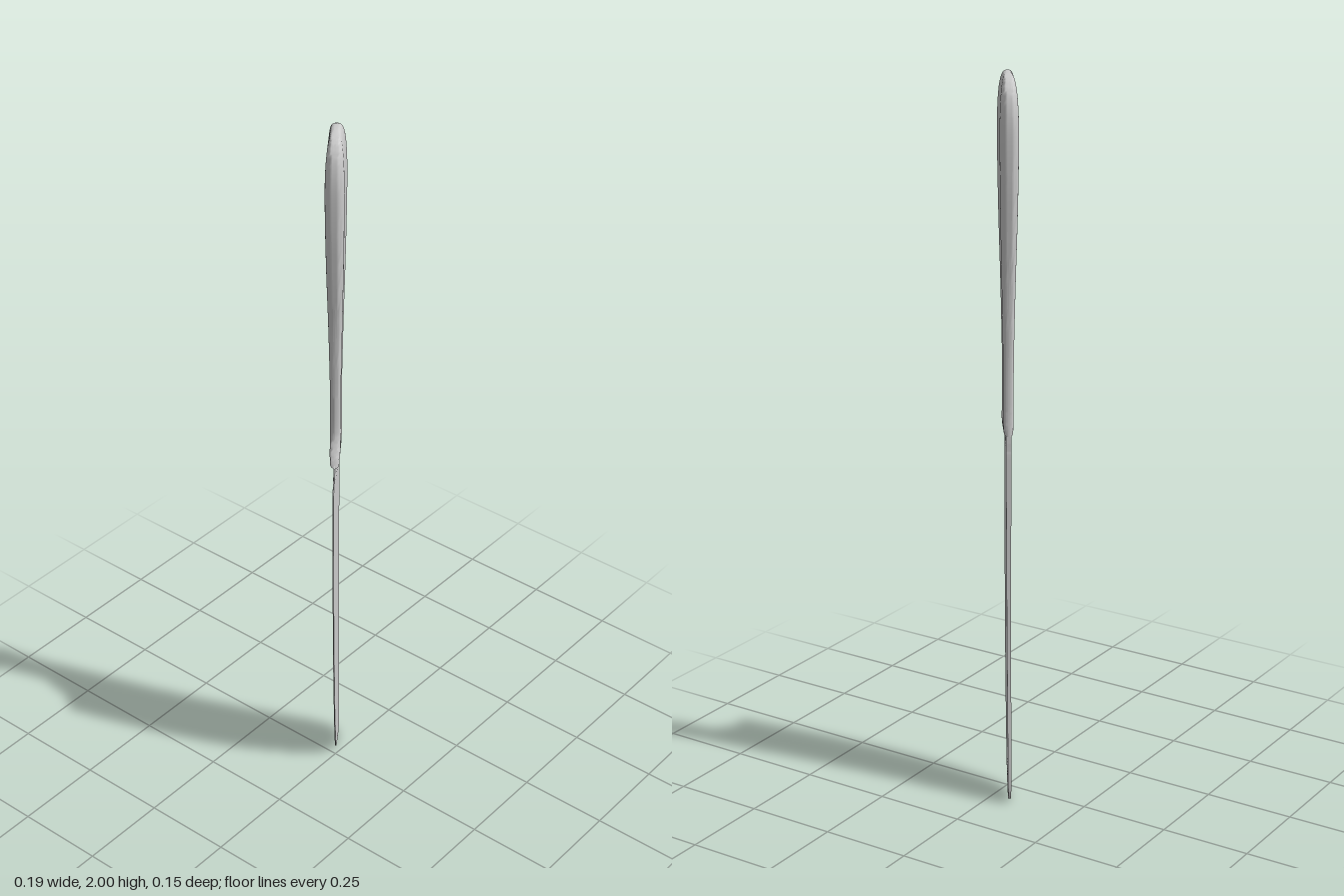
import * as THREE from 'three';
import { toCreasedNormals } from 'three/addons/utils/BufferGeometryUtils.js';

const steel = new THREE.MeshStandardMaterial({ color: 0xcccccc });

// Skin stacked rings. Each row is [y, left, right, thickness]; section gives the
// ring of [x, z] points (counter-clockwise, x towards z); bend may shift y.
function loft(rows, samples, section, crease, bend = (x, y) => y) {
  const curves = [1, 2, 3].map(k => new THREE.SplineCurve(rows.map(r => new THREE.Vector2(r[k], r[0]))));
  const pos = [], idx = [];
  let n = 0;
  for (let j = 0; j <= samples; j++) {
    const [l, r, d] = curves.map(c => c.getPoint(j / samples));
    const ring = section(l.x, r.x, d.x);
    n = ring.length;
    for (const [x, z] of ring) pos.push(x, bend(x, l.y, l.x, r.x), z);
  }
  for (let j = 0; j < samples; j++) {
    for (let i = 0; i < n; i++) {
      const a = j * n + i, b = j * n + (i + 1) % n;
      idx.push(a, a + n, b, b, a + n, b + n);
    }
  }
  // end caps
  const top = samples * n;
  for (let i = 1; i < n - 1; i++) {
    idx.push(0, i, i + 1, top, top + i + 1, top + i);
  }
  const g = new THREE.BufferGeometry();
  g.setAttribute('position', new THREE.Float32BufferAttribute(pos, 3));
  g.setIndex(idx);
  return toCreasedNormals(g, crease);
}

// Flat-sided ring with round ends
function stadium(l, r, d) {
  const rad = Math.min(d, r - l) / 2, half = (r - l) / 2 - rad, mid = (l + r) / 2;
  const ring = [], steps = 12;
  for (const side of [1, -1]) {
    for (let i = 0; i <= steps; i++) {
      const a = (i / steps - 0.5) * Math.PI + (side < 0 ? Math.PI : 0);
      ring.push([mid + side * (half + 1e-4) + rad * Math.cos(a), rad * Math.sin(a)]);
    }
  }
  return ring;
}

// Wedge ring: thin cutting edge on the left, thick spine on the right
function wedge(l, r, d) {
  const edge = 0.0015, spine = d / 2;
  return [[r, -spine], [r, spine], [l, edge], [l, -edge]];
}

export function createModel() {
  const knife = new THREE.Group();
  knife.name = 'tableKnife';

  // Handle: flared bolster, slim neck, wide rounded butt
  const handleRows = [
    [1.04, -0.052, 0.064, 0.024],
    [1.06, -0.044, 0.064, 0.027],
    [1.08, -0.033, 0.063, 0.028],
    [1.11, -0.02, 0.062, 0.028],
    [1.15, -0.016, 0.062, 0.028],
    [1.22, -0.016, 0.063, 0.028],
    [1.3, -0.018, 0.067, 0.03],
    [1.45, -0.027, 0.078, 0.036],
    [1.6, -0.046, 0.096, 0.043],
    [1.72, -0.059, 0.109, 0.047],
    [1.82, -0.064, 0.114, 0.049],
    [1.89, -0.062, 0.112, 0.048],
    [1.94, -0.052, 0.102, 0.043],
    [1.97, -0.037, 0.087, 0.036],
    [1.988, -0.02, 0.07, 0.027],
    [1.997, -0.002, 0.052, 0.015],
    [2.0, 0.012, 0.038, 0.004],
  ];
  // the bolster's lower rim arches up in the middle
  const arch = (x, y, l, r) => {
    const u = (2 * x - l - r) / (r - l);
    return y + 0.018 * (1 - u * u) * Math.max(0, 1 - (y - 1.04) / 0.08);
  };
  const handle = new THREE.Mesh(loft(handleRows, 80, stadium, 0.7, arch), steel);
  handle.name = 'handle';

  // Blade: rounded tip, curved cutting edge, scooped heel running into the bolster
  const bladeRows = [
    [0.0, 0.045, 0.075, 0.006],
    [0.004, 0.034, 0.094, 0.007],
    [0.012, 0.022, 0.107, 0.008],
    [0.03, 0.007, 0.115, 0.008],
    [0.07, -0.013, 0.117, 0.009],
    [0.13, -0.033, 0.114, 0.009],
    [0.2, -0.051, 0.107, 0.01],
    [0.3, -0.071, 0.097, 0.01],
    [0.42, -0.089, 0.086, 0.011],
    [0.6, -0.106, 0.075, 0.012],
    [0.8, -0.115, 0.068, 0.013],
    [0.93, -0.117, 0.065, 0.014],
    [0.985, -0.117, 0.064, 0.014],
    [1.0, -0.113, 0.063, 0.014],
    [1.01, -0.095, 0.063, 0.014],
    [1.022, -0.073, 0.063, 0.014],
    [1.045, -0.051, 0.062, 0.014],
    [1.08, -0.03, 0.06, 0.014],
  ];
  const blade = new THREE.Mesh(loft(bladeRows, 102, wedge, 0.5), steel);
  blade.name = 'blade';

  knife.add(handle, blade);
  // the flat of the knife stands diagonally
  knife.rotation.y = 0.63;
  const model = new THREE.Group();
  model.name = 'knife';
  model.add(knife);
  return model;
}
